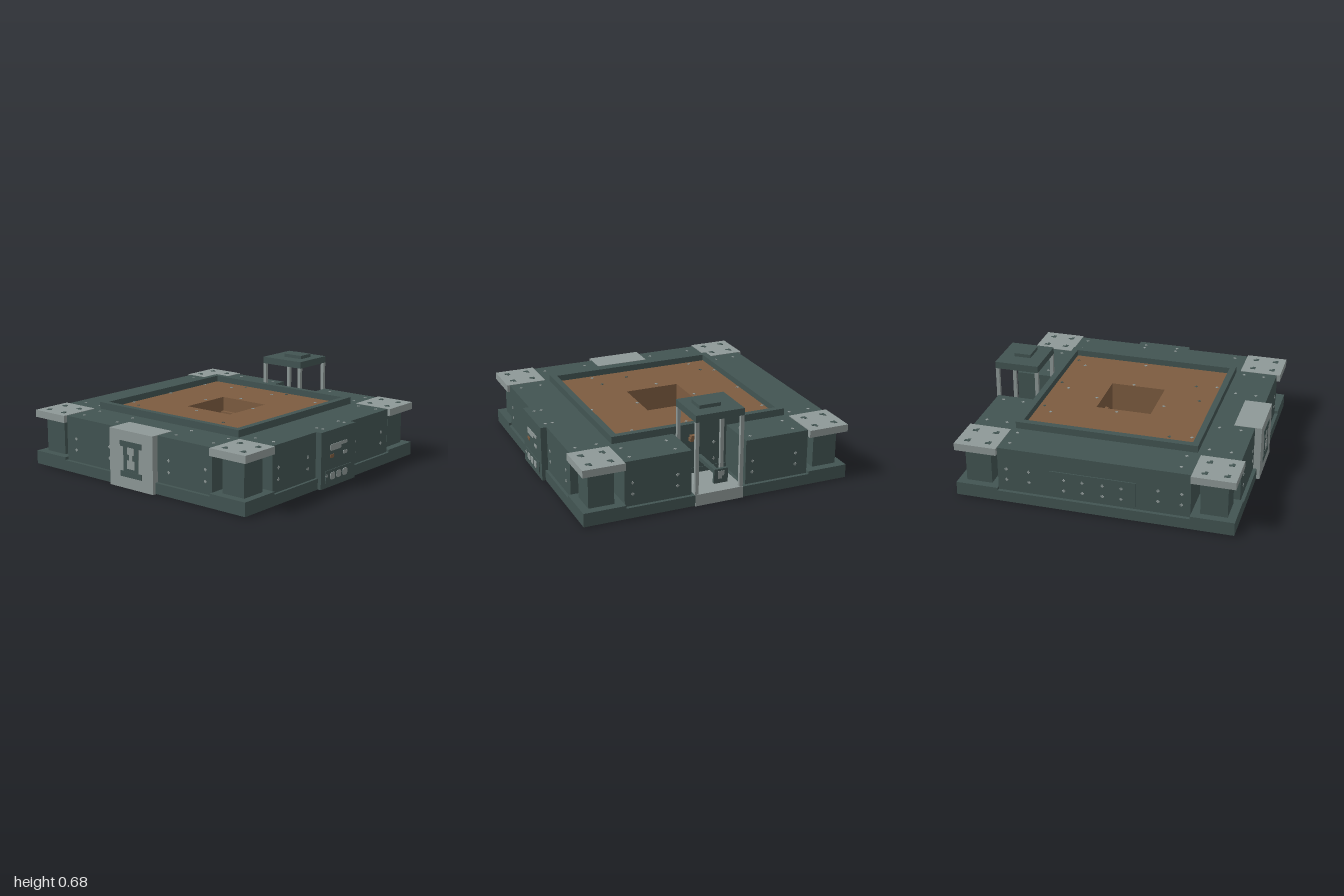
import * as THREE from 'three';

const mat = (name, color) => {
  const m = new THREE.MeshStandardMaterial({ color });
  m.name = name;
  return m;
};

export function createModel() {
  const dark = mat('dark slate', 0x425452);
  const grey = mat('pale grey', 0x8e9897);
  const brown = mat('brown', 0x7d5c40);
  const root = new THREE.Group();
  root.name = 'squareFortress';
  const ZC = -0.02; // centre line of the square plan

  // Box given by its limits on each axis
  const box = (name, m, x0, x1, y0, y1, z0, z1, parent = root) => {
    const mesh = new THREE.Mesh(new THREE.BoxGeometry(x1 - x0, y1 - y0, z1 - z0), m);
    mesh.position.set((x0 + x1) / 2, (y0 + y1) / 2, (z0 + z1) / 2);
    mesh.name = name;
    parent.add(mesh);
    return mesh;
  };

  const square = (P, hx, hz) => {
    const p = new P();
    p.moveTo(-hx, -hz); p.lineTo(hx, -hz); p.lineTo(hx, hz); p.lineTo(-hx, hz); p.closePath();
    return p;
  };

  // Square frame with a square opening
  const ring = (name, m, hx, hz, hole, y0, y1) => {
    const s = square(THREE.Shape, hx, hz);
    s.holes.push(square(THREE.Path, hole, hole));
    const g = new THREE.ExtrudeGeometry(s, { depth: y1 - y0, bevelEnabled: false });
    g.rotateX(-Math.PI / 2);
    const mesh = new THREE.Mesh(g, m);
    mesh.position.set(0, y0, ZC);
    mesh.name = name;
    root.add(mesh);
  };

  // Foundation, courtyard floor and raised rim
  ring('foundation', dark, 0.973, 0.97, 0.65, 0.004, 0.08);
  ring('foundationCore', dark, 0.65, 0.65, 0.2, 0.018, 0.12);
  ring('courtyard', brown, 0.6, 0.602, 0.2, 0.12, 0.405);
  ring('rim', dark, 0.645, 0.647, 0.601, 0.1, 0.45);
  box('shaftLedge', brown, 0.175, 0.2, 0.22, 0.3, -0.22, 0);

  // Main walls
  box('frontWall', dark, -0.672, 0.672, 0.08, 0.4, 0.625, 0.93);
  box('backWall', dark, -0.672, 0.672, 0.08, 0.4, -0.965, -0.66);
  for (const [z0, z1] of [[-0.69, -0.22], [0.18, 0.655]]) {
    box('rightWall', dark, 0.64, 0.948, 0.08, 0.4, z0, z1);
    box('leftWall', dark, -0.948, -0.64, 0.08, 0.4, z0, z1);
  }
  box('leftGateWall', dark, -0.8, -0.64, 0.08, 0.4, -0.22, 0.18);

  // Corner towers: plinth, post, cap and bent marks on the cap
  for (const sx of [-1, 1]) for (const sz of [-1, 1]) {
    const g = new THREE.Group();
    g.name = 'cornerTower';
    g.position.z = ZC;
    root.add(g);
    const b = (name, m, a, c, y0, y1, d, e) => box(name, m,
      Math.min(sx * a, sx * c), Math.max(sx * a, sx * c), y0, y1,
      Math.min(sz * d, sz * e), Math.max(sz * d, sz * e), g);
    b('plinth', dark, 0.672, 0.973, 0.006, 0.1, 0.674, 0.97);
    b('post', dark, 0.73, 0.915, 0.1, 0.35, 0.735, 0.915);
    b('cap', grey, 0.672, 0.973, 0.35, 0.402, 0.674, 0.97);
    for (const x of [0.75, 0.9]) for (const z of [0.75, 0.9]) {
      const px = sx * x, pz = sz * z;
      box('capMark', dark, px - 0.02, px + 0.02, 0.4, 0.404, pz - 0.018, pz + 0.004, g);
      box('capMark', dark, px - 0.02, px + 0.002, 0.4, 0.404, pz + 0.004, pz + 0.02, g);
    }
  }

  // Left gate block with dark panel and figure
  box('leftGate', grey, -0.996, -0.8, 0, 0.402, -0.22, 0.18);
  box('gatePanel', dark, -0.998, -0.99, 0.1, 0.31, -0.09, 0.05);
  for (const [y0, y1] of [[0.08, 0.12], [0.29, 0.33]])
    box('gatePanelBar', dark, -0.999, -0.99, y0, y1, -0.12, 0.08);
  box('gateFigureBody', grey, -1, -0.993, 0.14, 0.2, -0.055, 0.015);
  box('gateFigureNeck', grey, -1, -0.993, 0.2, 0.24, -0.035, -0.005);
  box('gateFigureHead', grey, -1, -0.993, 0.24, 0.29, -0.05, 0.01);

  // Right booth: floor, four posts, roof and roof block
  box('boothFloor', grey, 0.65, 0.975, 0, 0.083, -0.192, 0.162);
  for (const x of [0.648, 0.946]) for (const z of [-0.19, 0.137])
    box('boothPost', grey, x, x + 0.025, 0.08, 0.6, z, z + 0.025);
  box('boothRoof', dark, 0.648, 0.972, 0.6, 0.65, -0.19, 0.162);
  box('boothRoofBlock', dark, 0.748, 0.872, 0.65, 0.675, -0.063, 0.093);
  box('boothSignArm', dark, 0.645, 0.98, 0.185, 0.215, -0.03, 0);
  box('boothSign', dark, 0.975, 0.997, 0.153, 0.255, -0.063, 0.037);
  box('boothSignMark', grey, 0.993, 1, 0.205, 0.24, -0.035, 0.01);
  box('boothSignMark', grey, 0.993, 1, 0.185, 0.205, -0.02, 0.01);
  box('boothLamp', brown, 0.64, 0.675, 0.33, 0.355, 0.012, 0.065);
  box('boothLampTop', brown, 0.64, 0.675, 0.355, 0.372, 0.018, 0.058);

  // Front gate panel with rounded painted plates
  box('frontPanel', dark, -0.2, 0.2, 0.004, 0.4, 0.92, 0.975);
  box('frontPlaque', dark, -0.15, 0.15, 0.035, 0.125, 0.97, 0.98);
  const pill = (name, m, x0, x1, y0, y1, z) => {
    const s = new THREE.Shape(), r = Math.min(x1 - x0, y1 - y0) * 0.35;
    s.moveTo(x0 + r, y0); s.lineTo(x1 - r, y0); s.quadraticCurveTo(x1, y0, x1, y0 + r);
    s.lineTo(x1, y1 - r); s.quadraticCurveTo(x1, y1, x1 - r, y1);
    s.lineTo(x0 + r, y1); s.quadraticCurveTo(x0, y1, x0, y1 - r);
    s.lineTo(x0, y0 + r); s.quadraticCurveTo(x0, y0, x0 + r, y0);
    const mesh = new THREE.Mesh(new THREE.ExtrudeGeometry(s, { depth: 0.007, bevelEnabled: false, curveSegments: 4 }), m);
    mesh.position.z = z;
    mesh.name = name;
    root.add(mesh);
  };
  pill('panelBar', grey, -0.1, 0.03, 0.255, 0.3, 0.972);
  pill('panelBarEnd', grey, 0, 0.1, 0.277, 0.301, 0.971);
  pill('panelBrownLight', brown, -0.1, -0.055, 0.205, 0.23, 0.972);
  pill('panelGreyLight', grey, 0.052, 0.1, 0.205, 0.23, 0.972);
  for (const x of [-0.1, -0.028, 0.045]) pill('plaqueTile', grey, x, x + 0.052, 0.055, 0.105, 0.978);

  // Back panel
  box('backPanel', dark, -0.3, 0.3, 0.1, 0.28, -0.973, -0.96);

  // Cross-shaped rivets; axis is the direction they face
  const rivet = (axis, x, y, z, m = grey) => {
    const g = new THREE.Group();
    g.name = 'rivet';
    g.position.set(x, y, z);
    root.add(g);
    for (const [a, b] of [[0.011, 0.004], [0.004, 0.011]]) {
      const h = axis === 'x' ? [0.003, a, b] : axis === 'y' ? [a, 0.003, b] : [a, b, 0.003];
      box('rivetArm', m, -h[0], h[0], -h[1], h[1], -h[2], h[2], g);
    }
  };
  for (const x of [-0.86, -0.71, 0.735, 0.885])
    for (const z of [-0.605, -0.28, 0.27, 0.595]) rivet('y', x, 0.4, z);
  for (const x of [-0.585, 0.61])
    for (const z of [-0.88, -0.73, 0.72, 0.87]) rivet('y', x, 0.4, z);
  for (const x of [-0.11, 0.14]) { rivet('y', x, 0.4, 0.87); rivet('y', x, 0.4, 0.92); }
  for (const y of [0.165, 0.245]) {
    for (const x of [-0.61, -0.29, 0.26, 0.59]) rivet('z', x, y, 0.93);
    for (const x of [-0.61, -0.45, 0.45, 0.61]) rivet('z', x, y, -0.965);
    for (const x of [-0.2, -0.07, 0.07, 0.2]) rivet('z', x, y - 0.02, -0.973);
    for (const z of [-0.6, -0.27, 0.28, 0.6]) for (const x of [-0.948, 0.948]) rivet('x', x, y, z);
  }
  for (const y of [0.165, 0.29]) for (const z of [-0.125, 0.128]) rivet('x', 0.645, y, z);
  rivet('z', -0.14, 0.09, 0.98);

  // Scattered studs on the courtyard floor
  for (const [x, z] of [[-0.36, -0.605], [0.04, -0.605], [0.435, -0.605], [-0.56, -0.48], [0.49, -0.38],
    [0.04, -0.255], [-0.26, -0.08], [0.24, -0.08], [0.49, 0.015], [0.04, 0.195], [-0.56, 0.32], [0.49, 0.42], [0.04, 0.54]])
    rivet('y', x, 0.405, z);
  for (const [x, z] of [[-0.41, -0.51], [0.565, -0.3], [-0.485, 0.07], [0.565, 0.095], [-0.41, 0.295], [0.565, 0.495]])
    rivet('y', x, 0.405, z, dark);

  return root;
}
